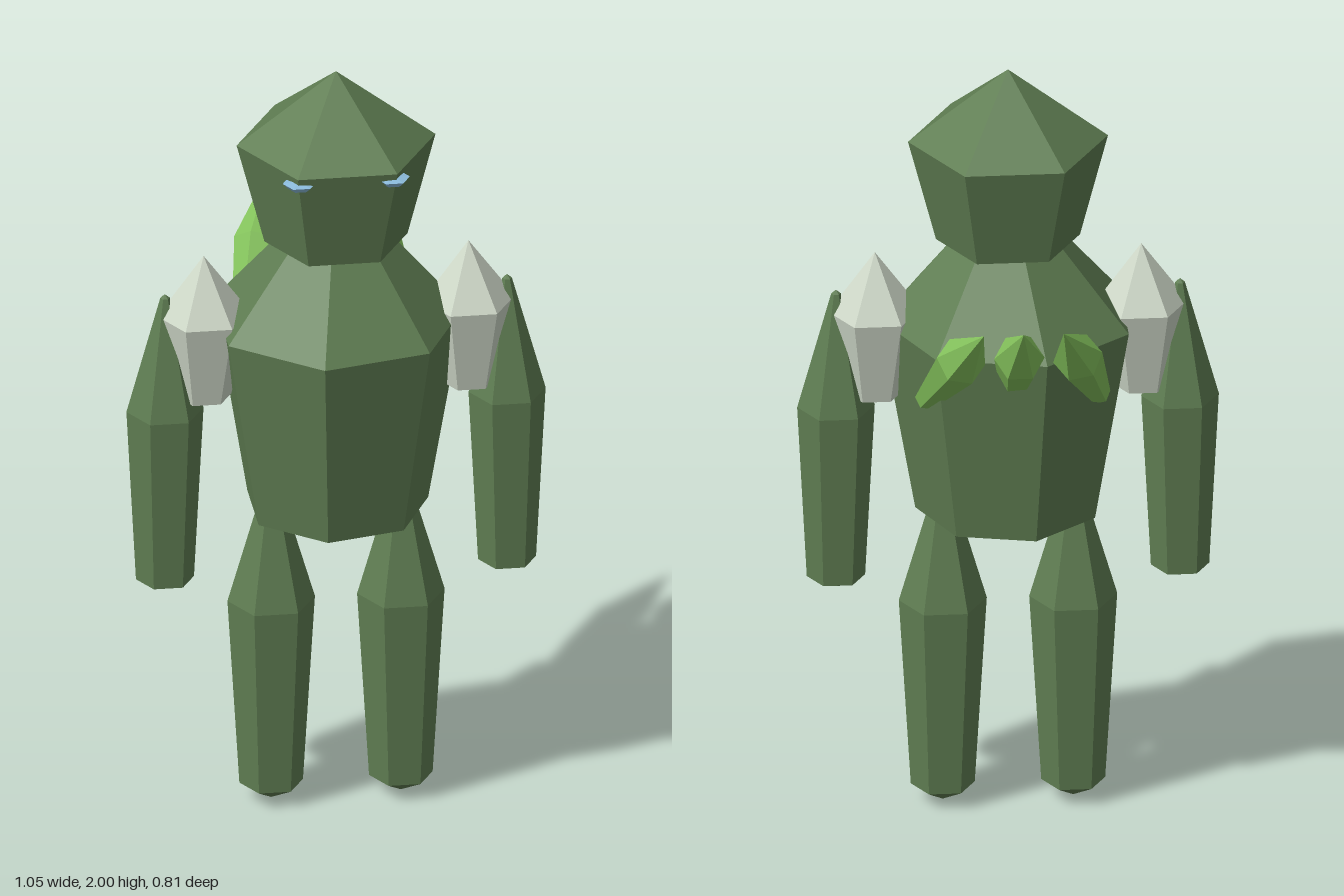
import * as THREE from 'three';

const DEPTH = 0.09; // z of the body axis

const paint = (color) => new THREE.MeshStandardMaterial({ color, flatShading: true });

// Faceted solid turned from [radius, y] points listed from bottom to top
function faceted(name, profile, material, sides = 6, turn = Math.PI / 2) {
  const points = profile.map(([r, y]) => new THREE.Vector2(r, y));
  const mesh = new THREE.Mesh(new THREE.LatheGeometry(points, sides, turn), material);
  mesh.name = name;
  return mesh;
}

export function createModel() {
  const model = new THREE.Group();
  model.name = 'figure';
  const green = paint(0x5f7d52);
  const pale = paint(0xccd6c6);
  const lime = paint(0x84c25c);
  const blue = paint(0x8cbcdc);

  const add = (mesh, x, y, z) => {
    mesh.position.set(x, y, z);
    model.add(mesh);
    return mesh;
  };

  // Head: pointed cap over a tapering face
  add(faceted('head', [[0, 1.535], [0.18, 1.54], [0.25, 1.81], [0, 2]], green), 0, 0, DEPTH);

  // Torso: seven-sided, slightly turned
  add(faceted('torso', [[0, 0.77], [0.232, 0.805], [0.322, 1.325], [0.137, 1.54], [0, 1.545]],
    green, 7, THREE.MathUtils.degToRad(-12.5)), 0, 0, DEPTH);

  // Spike pointing from base to tip
  const spike = (name, base, tip) => {
    const axis = tip.clone().sub(base);
    const length = axis.length();
    const mesh = faceted(name, [[0, -0.005], [0.03, 0], [0.063, length * 0.6], [0, length]], lime);
    mesh.quaternion.setFromUnitVectors(new THREE.Vector3(0, 1, 0), axis.normalize());
    add(mesh, base.x, base.y, base.z);
  };
  spike('middleBackSpike', new THREE.Vector3(0, 1.18, -0.06), new THREE.Vector3(0, 1.5, -0.405));

  // Mirrored parts
  for (const [side, s] of [['left', 1], ['right', -1]]) {
    add(faceted(side + 'Leg', [[0, 0], [0.08, 0.045], [0.11, 0.55], [0.035, 0.81], [0, 0.82]], green),
      s * 0.163, 0, DEPTH);
    add(faceted(side + 'Arm', [[0, 0.595], [0.073, 0.625], [0.097, 1.09], [0.012, 1.4], [0, 1.41]], green),
      s * 0.43, 0, DEPTH);
    add(faceted(side + 'ShoulderPad', [[0, 1.11], [0.07, 1.125], [0.117, 1.35], [0, 1.51]], pale),
      s * 0.333, 0, DEPTH);
    add(faceted(side + 'Eye', [[0, -0.013], [0.028, -0.011], [0.043, 0.004], [0, 0.011]], blue),
      s * 0.117, 1.786, 0.281);
    spike(side + 'BackSpike', new THREE.Vector3(s * 0.215, 1.17, -0.055),
      new THREE.Vector3(s * 0.1, 1.5, -0.405));
  }
  return model;
}
